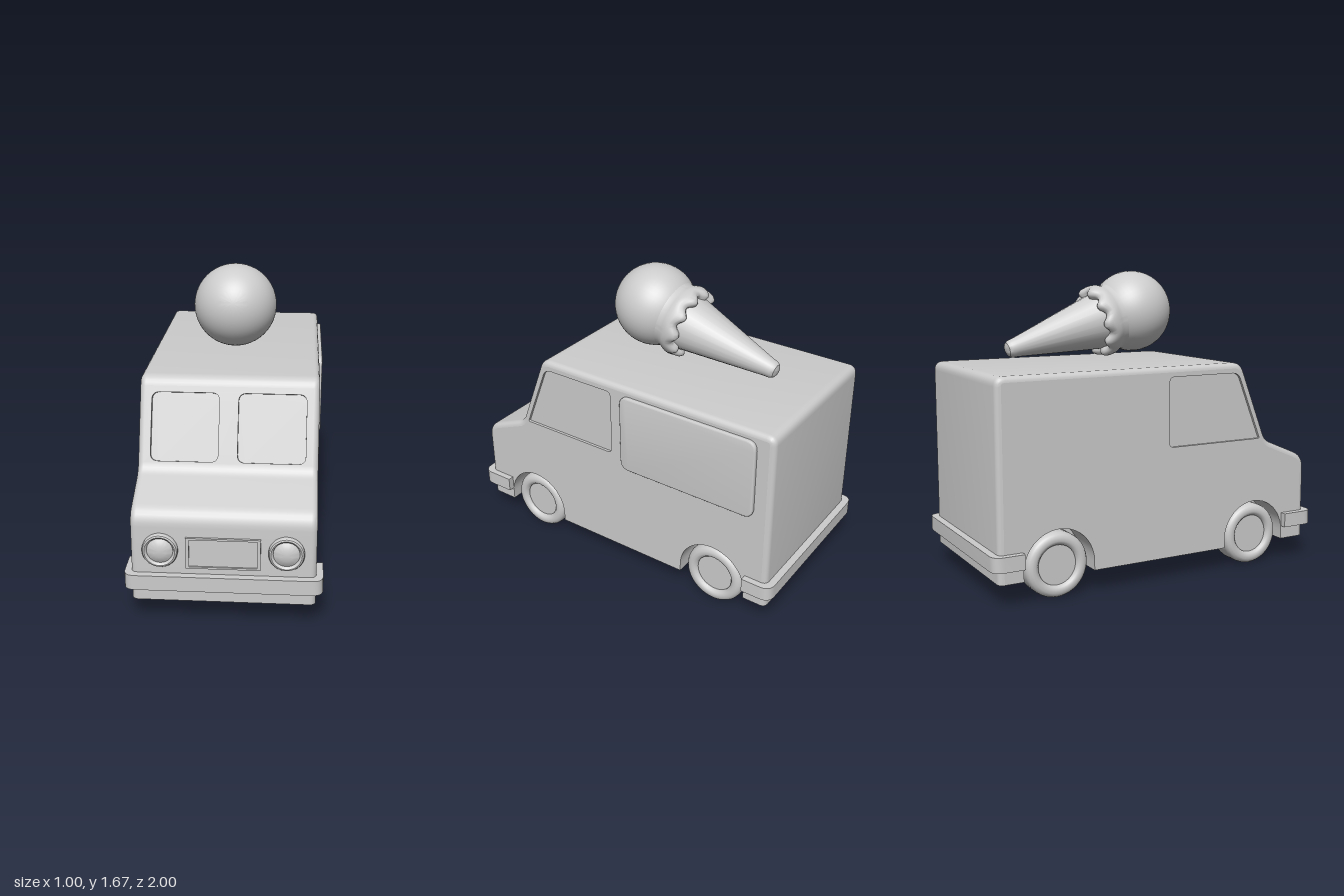
import * as THREE from 'three';
import { toCreasedNormals } from 'three/addons/utils/BufferGeometryUtils.js';

const V2 = (x, y) => new THREE.Vector2(x, y);
const V3 = (x, y, z) => new THREE.Vector3(x, y, z);
const gray = new THREE.MeshStandardMaterial({ color: 0xcccccc, side: THREE.DoubleSide });
gray.name = 'light gray';

function add(parent, name, geometry, crease = 0.6) {
  const mesh = new THREE.Mesh(toCreasedNormals(geometry, crease), gray);
  mesh.name = name;
  parent.add(mesh);
  return mesh;
}

// Outline points with rounded corners; each corner is [x, y, radius].
function rounded(corners, closed = true) {
  const out = [], n = corners.length;
  corners.forEach(([x, y, r], i) => {
    const p = V2(x, y);
    if (!r || (!closed && (i === 0 || i === n - 1))) { out.push(p); return; }
    const toward = (c) => V2(c[0], c[1]).sub(p).normalize().multiplyScalar(r).add(p);
    const a = toward(corners[(i + n - 1) % n]), b = toward(corners[(i + 1) % n]);
    out.push(...new THREE.QuadraticBezierCurve(a, p, b).getPoints(6));
  });
  return out;
}
const rect = (x0, y0, x1, y1, r) => rounded([[x0, y0, r], [x1, y0, r], [x1, y1, r], [x0, y1, r]]);

// Skin between closed rings of points, leaving out quads where skip is true.
function loft(rings, skip = () => false) {
  const n = rings[0].length, index = [];
  for (let i = 0; i < rings.length - 1; i++) for (let j = 0; j < n; j++) {
    if (skip(i, j)) continue;
    const k = (j + 1) % n, a = i * n + j, b = i * n + k, c = b + n, d = a + n;
    index.push(a, d, c, a, c, b);
  }
  const g = new THREE.BufferGeometry().setFromPoints(rings.flat());
  g.setIndex(index);
  return g;
}

// Flat panel with openings, each backed by a recessed pane.
function windowPanel(parent, name, outline, openings, depth) {
  const shape = new THREE.Shape(outline);
  shape.holes = openings.map((o) => new THREE.Path(o));
  add(parent, name, new THREE.ShapeGeometry(shape));
  for (const o of openings) {
    add(parent, 'windowEdge', loft([-depth, 0].map((z) => o.map((p) => V3(p.x, p.y, z)))));
    add(parent, 'windowPane', new THREE.ShapeGeometry(new THREE.Shape(o))).position.z = -depth;
  }
}

const HALF = 0.465, BEVEL = 0.03, FLOOR = 0.125;
const AXLES = [-0.625, 0.6], WHEEL_R = 0.175;

function buildBody(root) {
  const body = new THREE.Group();
  body.name = 'body';
  root.add(body);

  // Side profile as (z, y): floor with wheel arches, then nose, windscreen, roof and rear
  const bottom = [V2(-0.96, FLOOR)];
  for (const z of AXLES) {
    bottom.push(V2(z - 0.2, FLOOR));
    for (let i = 0; i <= 20; i++) {
      const a = Math.PI * (1 - i / 20);
      bottom.push(V2(z + 0.2 * Math.cos(a), WHEEL_R + 0.2 * Math.sin(a)));
    }
    bottom.push(V2(z + 0.2, FLOOR));
  }
  const upper = rounded([[0.96, FLOOR], [0.96, 0.6, 0.07], [0.68, 0.717, 0.04],
    [0.5, 1.17, 0.05], [-0.96, 1.17, 0.05], [-0.96, FLOOR]], false).slice(0, -1);
  const prof = [...bottom, ...upper], n = prof.length, last = bottom.length;

  // Inward directions for the rounded side edges; the floor and arches stay sharp
  const inward = prof.map((p, i) => {
    if (i === 0) return V2(1, 0);
    if (i === last) return V2(-1, 0);
    if (i < last) return V2(0, 0);
    const e = p.clone().sub(prof[i - 1]).normalize();
    const f = prof[(i + 1) % n].clone().sub(p).normalize();
    const m = V2(-e.y - f.y, e.x + f.x).normalize();
    return m.divideScalar(Math.max(0.5, m.dot(V2(-e.y, e.x))));
  });
  const inset = (s) => prof.map((p, i) => p.clone().addScaledVector(inward[i], s));
  const rings = [], STEPS = 5;
  for (const side of [-1, 1]) for (let k = 0; k <= STEPS; k++) {
    const a = (side < 0 ? k : STEPS - k) / STEPS * Math.PI / 2;
    const x = side * (HALF - BEVEL * (1 - Math.sin(Math.PI / 2 - a)));
    rings.push(inset(BEVEL * (1 - Math.sin(a))).map((p) => V3(x, p.y, p.x)));
  }
  const w = prof.findIndex((p, i) => p.y > 0.7 && p.y < 0.9 && p.distanceTo(prof[(i + 1) % n]) > 0.2);
  add(body, 'shell', loft(rings, (i, j) => i === STEPS && j === w));

  // Sides with recessed cab windows
  const cabWindow = rounded([[0.03, 0.735, 0.03], [0.63, 0.735, 0.012], [0.477, 1.115, 0.04], [0.03, 1.115, 0.03]]);
  for (const s of [-1, 1]) {
    const mirror = new THREE.Group(), side = new THREE.Group();
    mirror.name = s > 0 ? 'leftSide' : 'rightSide';
    mirror.scale.x = -s;
    side.rotation.y = -Math.PI / 2;
    side.position.x = -HALF;
    mirror.add(side);
    body.add(mirror);
    windowPanel(side, 'sidePanel', inset(BEVEL), [cabWindow], 0.015);
  }

  // Sloping windscreen with two recessed panes
  const A = prof[w], B = prof[w + 1], len = A.distanceTo(B), hw = HALF - BEVEL;
  const screen = new THREE.Group();
  screen.name = 'windscreen';
  screen.position.set(0, A.y, A.x);
  screen.rotation.x = -Math.atan2(A.x - B.x, B.y - A.y);
  body.add(screen);
  const up = (y) => (y - A.y) / (B.y - A.y) * len;
  windowPanel(screen, 'windscreenFrame', [V2(-hw, 0), V2(hw, 0), V2(hw, len), V2(-hw, len)],
    [rect(-0.4, up(0.762), -0.05, up(1.093), 0.04), rect(0.05, up(0.762), 0.4, up(1.093), 0.04)], 0.025);

  // Floor between the wheel wells
  for (const z of AXLES) {
    add(body, 'wheelWell', new THREE.BoxGeometry(0.56, 0.27, 0.42)).position.set(0, FLOOR + 0.136, z);
  }
}

function buildFittings(root) {
  // Wraparound bumpers
  for (const [name, z, turn] of [['frontBumper', 0.8, 0], ['rearBumper', 0.83, Math.PI]]) {
    const outline = rounded([[-0.5, z, 0], [0.5, z, 0], [0.5, 1, 0.06], [-0.5, 1, 0.06]]);
    const g = new THREE.ExtrudeGeometry(new THREE.Shape(outline), { depth: 0.08, bevelEnabled: false });
    g.rotateX(Math.PI / 2).translate(0, 0.28, 0);
    add(root, name, g).rotation.y = turn;
  }

  // Headlights: rim and domed lens
  const lamp = [[0.09, 0], [0.09, 0.014], [0.085, 0.023], [0.077, 0.026], [0.07, 0.022], [0.066, 0.012],
    [0.062, 0.014], [0.05, 0.022], [0.03, 0.029], [0, 0.032]].map((p) => V2(...p));
  for (const s of [-1, 1]) {
    const g = new THREE.LatheGeometry(lamp, 40).rotateX(Math.PI / 2);
    add(root, 'headlight', g, 0.7).position.set(s * 0.315, 0.41, 0.96);
  }

  // Grille frame and plate
  const frame = new THREE.Shape(rect(-0.187, 0.315, 0.187, 0.482, 0));
  frame.holes.push(new THREE.Path(rect(-0.17, 0.325, 0.17, 0.472, 0)));
  add(root, 'grilleFrame', new THREE.ExtrudeGeometry(frame, { depth: 0.014, bevelEnabled: false })).position.z = 0.959;
  add(root, 'grillePlate', new THREE.BoxGeometry(0.345, 0.15, 0.008)).position.set(0, 0.398, 0.96);

  // Serving hatch on the left side
  const hatch = new THREE.ExtrudeGeometry(new THREE.Shape(rect(0.05, 0.68, 0.855, 1.115, 0.045)),
    { depth: 0.014, bevelThickness: 0.008, bevelSize: 0.008, bevelSegments: 3 });
  const hatchMesh = add(root, 'servingHatch', hatch, 0.7);
  hatchMesh.rotation.y = Math.PI / 2;
  hatchMesh.position.x = 0.464;

  // Wheels
  const tyre = [[0, 0], [0.15, 0], [0.165, 0.008], [0.173, 0.025], [WHEEL_R, 0.04], [WHEEL_R, 0.115],
    [0.172, 0.132], [0.163, 0.146], [0.148, 0.154], [0.13, 0.155], [0.118, 0.15], [0.108, 0.138],
    [0.108, 0.13], [0, 0.13]].map((p) => V2(...p));
  for (const s of [-1, 1]) for (const z of AXLES) {
    const g = new THREE.LatheGeometry(tyre, 48).rotateZ(-Math.PI / 2).translate(0.295, 0, 0);
    const wheel = add(root, 'wheel', g, 0.7);
    wheel.position.set(0, WHEEL_R, z);
    wheel.rotation.y = s > 0 ? 0 : Math.PI;
  }
}

function buildIceCream(root) {
  // Local +y runs from the scoop to the tip of the cone
  const ice = new THREE.Group();
  ice.name = 'iceCream';
  ice.position.set(0, 1.447, 0.053);
  ice.quaternion.setFromUnitVectors(V3(0, 1, 0), V3(0, -0.245, -0.97).normalize());
  root.add(ice);
  add(ice, 'scoop', new THREE.SphereGeometry(0.225, 48, 32));
  const cone = [[0.165, 0.18], [0.051, 0.735], [0.048, 0.76], [0.038, 0.778], [0.02, 0.787], [0, 0.789]];
  add(ice, 'cone', new THREE.LatheGeometry(cone.map((p) => V2(...p)), 24));

  // Scalloped skirt of ice cream around the cone: [radius, height, share of the wave]
  const skirt = [[0.188, 0.11, 0], [0.183, 0.145, 0], [0.19, 0.165, 0], [0.198, 0.185, 0.2],
    [0.2, 0.21, 0.5], [0.194, 0.235, 0.9], [0.18, 0.25, 1], [0.165, 0.25, 1], [0.135, 0.235, 1]];
  const rings = skirt.map(([r, y, k]) => Array.from({ length: 120 }, (_, i) => {
    const a = i / 120 * Math.PI * 2;
    return V3(r * Math.cos(a), y + k * 0.016 * Math.cos(10 * a), r * Math.sin(a));
  }));
  add(ice, 'skirt', loft(rings), 1);
}

export function createModel() {
  const root = new THREE.Group();
  root.name = 'iceCreamVan';
  buildBody(root);
  buildFittings(root);
  buildIceCream(root);
  return root;
}
